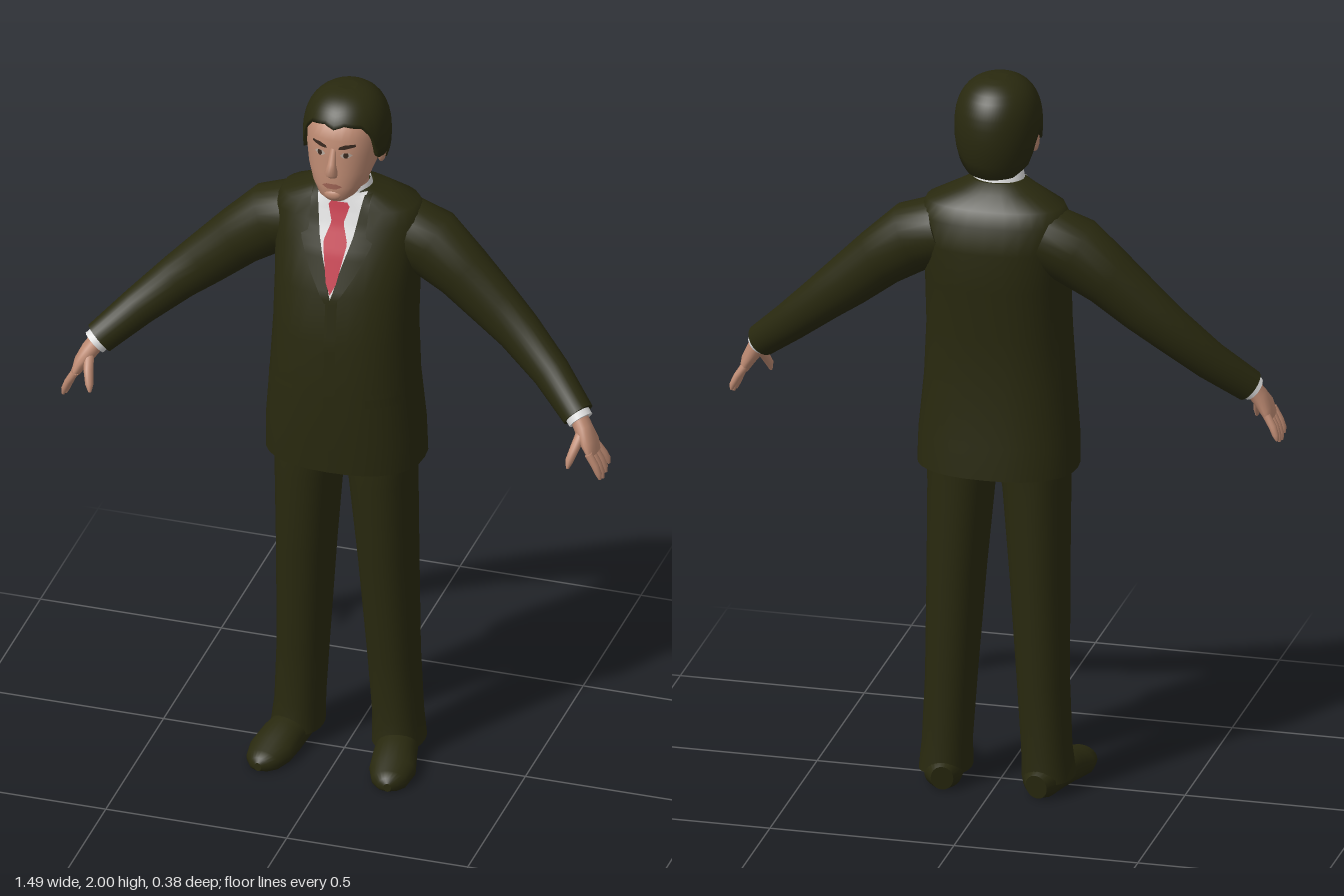
import * as THREE from 'three';

const mat = (name, color, side = THREE.FrontSide) => {
  const m = new THREE.MeshStandardMaterial({ color, side });
  m.name = name;
  return m;
};

// Skin a list of closed rings (ordered along the part), with optional end caps
function loft(rings, capStart = true, capEnd = true) {
  const n = rings[0].length, pos = [], idx = [];
  const add = (p) => pos.push(p.x, p.y, p.z) / 3 - 1;
  rings.forEach((r) => r.forEach(add));
  for (let i = 0; i < rings.length - 1; i++) for (let j = 0; j < n; j++) {
    const k = (j + 1) % n, a = i * n + j, b = i * n + k;
    idx.push(a, b, b + n, a, b + n, a + n);
  }
  const cap = (ring, flip) => {
    const mid = new THREE.Vector3();
    ring.forEach((p) => mid.addScaledVector(p, 1 / n));
    const c = add(mid), first = c + 1;
    ring.forEach(add);
    for (let j = 0; j < n; j++) {
      const k = (j + 1) % n;
      idx.push(c, first + (flip ? k : j), first + (flip ? j : k));
    }
  };
  if (capStart) cap(rings[0], true);
  if (capEnd) cap(rings[rings.length - 1], false);
  const g = new THREE.BufferGeometry();
  g.setAttribute('position', new THREE.Float32BufferAttribute(pos, 3));
  g.setIndex(idx);
  g.computeVertexNormals();
  return g;
}

// Interpolate rows of numbers keyed by their first value
function sample(rows, y) {
  let i = 0;
  while (i < rows.length - 2 && y > rows[i + 1][0]) i++;
  const a = rows[i], b = rows[i + 1];
  const t = THREE.MathUtils.clamp((y - a[0]) / (b[0] - a[0]), 0, 1);
  return a.map((v, k) => v + (b[k] - v) * t);
}

// Upright body of rounded sections: [y, halfWidth, zFront, zBack, xCentre]
function stack(rows, e = 2.3, s = 1, seg = 32) {
  return rows.map(([y, rx, zf, zb, cx = 0]) => Array.from({ length: seg }, (_, j) => {
    const a = (j / seg) * Math.PI * 2, sn = Math.sin(a), cs = Math.cos(a);
    const pw = (v) => Math.sign(v) * Math.abs(v) ** (2 / e);
    return new THREE.Vector3(s * cx + rx * pw(sn), y, (zf + zb) / 2 + ((zf - zb) / 2) * pw(cs));
  }));
}

// Tube of elliptical sections along a path: [x, y, z, radiusU, radiusW]
function tube(pts, s = 1, ref = new THREE.Vector3(0, 0, 1), seg = 16) {
  const P = pts.map((p) => new THREE.Vector3(s * p[0], p[1], p[2]));
  return P.map((c, i) => {
    const t = P[Math.min(i + 1, P.length - 1)].clone().sub(P[Math.max(i - 1, 0)]).normalize();
    const w = ref.clone().addScaledVector(t, -ref.dot(t)).normalize();
    const u = t.clone().cross(w);
    return Array.from({ length: seg }, (_, j) => {
      const a = (j / seg) * Math.PI * 2;
      return c.clone().addScaledVector(u, Math.sin(a) * pts[i][3]).addScaledVector(w, Math.cos(a) * pts[i][4]);
    });
  });
}

// Thin plate lying on the front of a stacked body; outline rows are [y, xMin, xMax]
function patch(body, e, outline, lift, s = 1) {
  const R = 24, C = 8, pos = [], idx = [];
  const y0 = outline[0][0], y1 = outline[outline.length - 1][0];
  for (let i = 0; i <= R; i++) for (let j = 0; j <= C; j++) {
    const y = y0 + ((y1 - y0) * i) / R;
    const [, a, b] = sample(outline, y), [, rx, zf, zb] = sample(body, y);
    const x = s > 0 ? a + ((b - a) * j) / C : -b + ((b - a) * j) / C;
    const q = Math.min(Math.abs(x) / rx, 0.98);
    pos.push(x, y, (zf + zb) / 2 + ((zf - zb) / 2) * (1 - q ** e) ** (1 / e) + lift);
    if (i < R && j < C) {
      const k = i * (C + 1) + j, m = k + C + 1;
      idx.push(k, k + 1, m + 1, k, m + 1, m);
    }
  }
  const g = new THREE.BufferGeometry();
  g.setAttribute('position', new THREE.Float32BufferAttribute(pos, 3));
  g.setIndex(idx);
  g.computeVertexNormals();
  return g;
}

const JACKET = [[0.91, 0.215, 0.135, -0.18], [1.0, 0.213, 0.14, -0.175], [1.15, 0.2, 0.145, -0.163],
  [1.3, 0.192, 0.14, -0.17], [1.44, 0.192, 0.122, -0.182], [1.55, 0.2, 0.085, -0.19], [1.62, 0.205, 0.055, -0.175],
  [1.66, 0.185, 0.042, -0.155], [1.695, 0.11, 0.033, -0.12], [1.715, 0.07, 0.028, -0.085]];
const HEAD = [[1.715, 0.032, 0.095, 0.02], [1.73, 0.052, 0.108, -0.02], [1.76, 0.073, 0.108, -0.055],
  [1.8, 0.088, 0.107, -0.09], [1.85, 0.098, 0.102, -0.12], [1.9, 0.1, 0.1, -0.125], [1.94, 0.088, 0.082, -0.11],
  [1.98, 0.05, 0.035, -0.07]];
// Hairline height by angle from the front, in degrees
const HAIRLINE = [[0, 1.93], [15, 1.94], [40, 1.93], [53, 1.9], [62, 1.83], [82, 1.825], [90, 1.85], [103, 1.85],
  [115, 1.775], [140, 1.745], [180, 1.74]];

function hairRings() {
  const seg = 72, rings = [];
  const ring = (v, shrink) => Array.from({ length: seg }, (_, j) => {
    const a = (j / seg) * Math.PI * 2, deg = Math.min(j, seg - j) * (360 / seg);
    const yb = sample(HAIRLINE, deg)[1], y = 2 - (2 - yb) * v * v;
    const h = (y - 1.86) / 0.14;
    const k = shrink * (h > 0 ? (1 - h ** 2.5) ** 0.4 : 1 - 0.3 * h * h);
    return new THREE.Vector3(0.116 * k * Math.sin(a), y, -0.025 + 0.131 * k * Math.cos(a));
  });
  rings.push(ring(1, 0.8));
  for (let i = 12; i >= 1; i--) rings.push(ring(i / 12, 1));
  return rings;
}

export function createModel() {
  const model = new THREE.Group();
  model.name = 'manInSuit';
  const suit = mat('darkSuit', 0x29290f), hairMat = mat('darkHair', 0x29290f, THREE.DoubleSide);
  const skin = mat('skin', 0xbd8a72), shirt = mat('whiteShirt', 0xdedede, THREE.DoubleSide);
  const red = mat('redTie', 0xc4384a), lip = mat('lips', 0x9c6253), dark = mat('darkFeatures', 0x3a2a20);
  const eyeMat = mat('eyeWhite', 0xb8a89c);
  const add = (name, geo, m) => {
    const mesh = new THREE.Mesh(geo, m);
    mesh.name = name;
    model.add(mesh);
    return mesh;
  };

  // Jacket, shirt front and tie
  add('jacket', loft(stack(JACKET, 2.4)), suit);
  add('shirtFront', patch(JACKET, 2.4, [[1.43, 0, 0], [1.6, -0.05, 0.05], [1.71, -0.068, 0.068]], 0.004), shirt);
  add('tie', patch(JACKET, 2.4, [[1.445, 0, 0], [1.475, -0.014, 0.014], [1.58, -0.033, 0.033], [1.632, -0.016, 0.016],
    [1.642, -0.02, 0.02], [1.675, -0.029, 0.029], [1.685, -0.022, 0.022]], 0.009), red);
  add('frontOpening', patch(JACKET, 2.4, [[0.915, 0.008, 0.02], [0.98, -0.012, 0.02], [1.43, -0.012, 0.02]], 0.004), suit);

  // Neck, head and collar
  const collar = stack([[1.68, 0.075, 0.045, -0.088], [1.715, 0.07, 0.04, -0.08], [1.738, 0.065, 0.036, -0.072]], 2);
  collar.forEach((r) => r.forEach((p) => { p.y -= 0.3 * Math.max(0, p.z + 0.03); }));
  add('shirtCollar', loft(collar, false, false), shirt);
  add('neck', loft(stack([[1.64, 0.062, 0.032, -0.07], [1.72, 0.06, 0.034, -0.066], [1.79, 0.062, 0.05, -0.075]], 2)), skin);
  add('head', loft(stack(HEAD, 2.2)), skin);
  add('hair', loft(hairRings(), false, true), hairMat);
  add('nose', loft(tube([[0, 1.875, 0.096, 0.008, 0.006], [0, 1.835, 0.11, 0.011, 0.011],
    [0, 1.811, 0.117, 0.018, 0.017], [0, 1.797, 0.108, 0.014, 0.007]])), skin);
  add('mouth', patch(HEAD, 2.2, [[1.76, -0.012, 0.012], [1.768, -0.028, 0.028], [1.775, -0.014, 0.014]], 0.004), lip);
  add('chin', new THREE.SphereGeometry(0.02, 16, 12).scale(1.2, 0.8, 0.6).translate(0, 1.738, 0.1), skin);

  for (const s of [1, -1]) {
    const side = s > 0 ? 'left' : 'right';
    // Face details
    add(side + 'Eye', patch(HEAD, 2.2, [[1.853, 0.028, 0.042], [1.86, 0.02, 0.052], [1.867, 0.028, 0.044]], 0.003, s), eyeMat);
    add(side + 'Iris', patch(HEAD, 2.2, [[1.853, 0.033, 0.039], [1.86, 0.029, 0.043], [1.868, 0.031, 0.041]], 0.005, s), dark);
    add(side + 'Brow', patch(HEAD, 2.2, [[1.878, 0.016, 0.03], [1.885, 0.018, 0.06], [1.892, 0.035, 0.058]], 0.004, s), dark);
    add(side + 'Ear', new THREE.SphereGeometry(0.03, 16, 12).scale(0.4, 1.1, 0.6).translate(s * 0.097, 1.825, -0.018), skin);

    // Lapel, collar wing and pocket flap
    add(side + 'Lapel', patch(JACKET, 2.4, [[1.42, 0, 0.015], [1.5, 0.018, 0.062], [1.585, 0.043, 0.1],
      [1.6, 0.047, 0.078], [1.705, 0.064, 0.082]], 0.008, s), suit);
    add(side + 'CollarWing', patch(JACKET, 2.4, [[1.625, 0.044, 0.048], [1.66, 0.024, 0.056], [1.7, 0.012, 0.062]], 0.0075, s), shirt);
    add(side + 'PocketFlap', patch(JACKET, 2.4, [[1.125, 0.1, 0.186], [1.165, 0.1, 0.186]], 0.009, s), suit);

    // Sleeve and cuff
    add(side + 'Sleeve', loft(tube([[0.14, 1.57, -0.068, 0.09, 0.095], [0.22, 1.54, -0.068, 0.095, 0.09],
      [0.31, 1.47, -0.06, 0.081, 0.072], [0.4, 1.39, -0.05, 0.072, 0.06], [0.47, 1.33, -0.038, 0.063, 0.054],
      [0.57, 1.24, -0.005, 0.053, 0.047], [0.662, 1.157, 0.05, 0.045, 0.042]], s, undefined, 24)), suit);
    add(side + 'Cuff', loft(tube([[0.65, 1.168, 0.045, 0.036, 0.036], [0.672, 1.146, 0.058, 0.035, 0.035]], s)), shirt);

    // Hand: palm, four fingers and thumb
    add(side + 'Palm', loft(tube([[0.66, 1.16, 0.052, 0.024, 0.027], [0.682, 1.128, 0.066, 0.024, 0.03],
      [0.702, 1.095, 0.075, 0.02, 0.042], [0.714, 1.066, 0.078, 0.013, 0.041]], s)), skin);
    for (let f = 0; f < 4; f++) {
      const z = 0.046 + f * 0.022, tip = 0.034 + f * 0.026, len = [0.8, 0.95, 1, 0.88][f];
      add(side + 'Finger' + (f + 1), loft(tube([[0.71, 1.078, z, 0.011, 0.011], [0.728, 1.078 - 0.035 * len, (z + tip) / 2, 0.0105, 0.011],
        [0.738, 1.078 - 0.062 * len, tip, 0.009, 0.0095], [0.742, 1.078 - 0.08 * len, tip, 0.004, 0.004]], s, undefined, 10)), skin);
    }
    add(side + 'Thumb', loft(tube([[0.682, 1.125, 0.078, 0.015, 0.015], [0.672, 1.09, 0.112, 0.013, 0.013],
      [0.663, 1.06, 0.132, 0.011, 0.011], [0.66, 1.04, 0.137, 0.004, 0.005]], s, undefined, 10)), skin);

    // Trouser leg
    add(side + 'TrouserLeg', loft(stack([[0.96, 0.1, 0.095, -0.135, 0.095], [0.85, 0.088, 0.095, -0.13, 0.102],
      [0.6, 0.077, 0.075, -0.13, 0.113], [0.3, 0.068, 0.045, -0.12, 0.125], [0.12, 0.066, 0.036, -0.119, 0.135],
      [0.04, 0.07, 0.048, -0.122, 0.14]].reverse(), 2.2, s)), suit);

    // Shoe, flattened on the ground
    const shoe = tube([[0.128, 0.035, -0.127, 0.03, 0.035], [0.132, 0.04, -0.1, 0.05, 0.045], [0.142, 0.04, -0.03, 0.053, 0.05],
      [0.156, 0.032, 0.05, 0.058, 0.055], [0.168, 0.022, 0.11, 0.062, 0.042], [0.175, 0.016, 0.16, 0.048, 0.034],
      [0.178, 0.014, 0.182, 0.028, 0.024], [0.179, 0.014, 0.191, 0.01, 0.012]], s, new THREE.Vector3(0, 1, 0), 24);
    shoe.forEach((r) => r.forEach((p) => { p.y = Math.max(0, p.y); }));
    add(side + 'Shoe', loft(shoe), suit);
  }
  return model;
}
